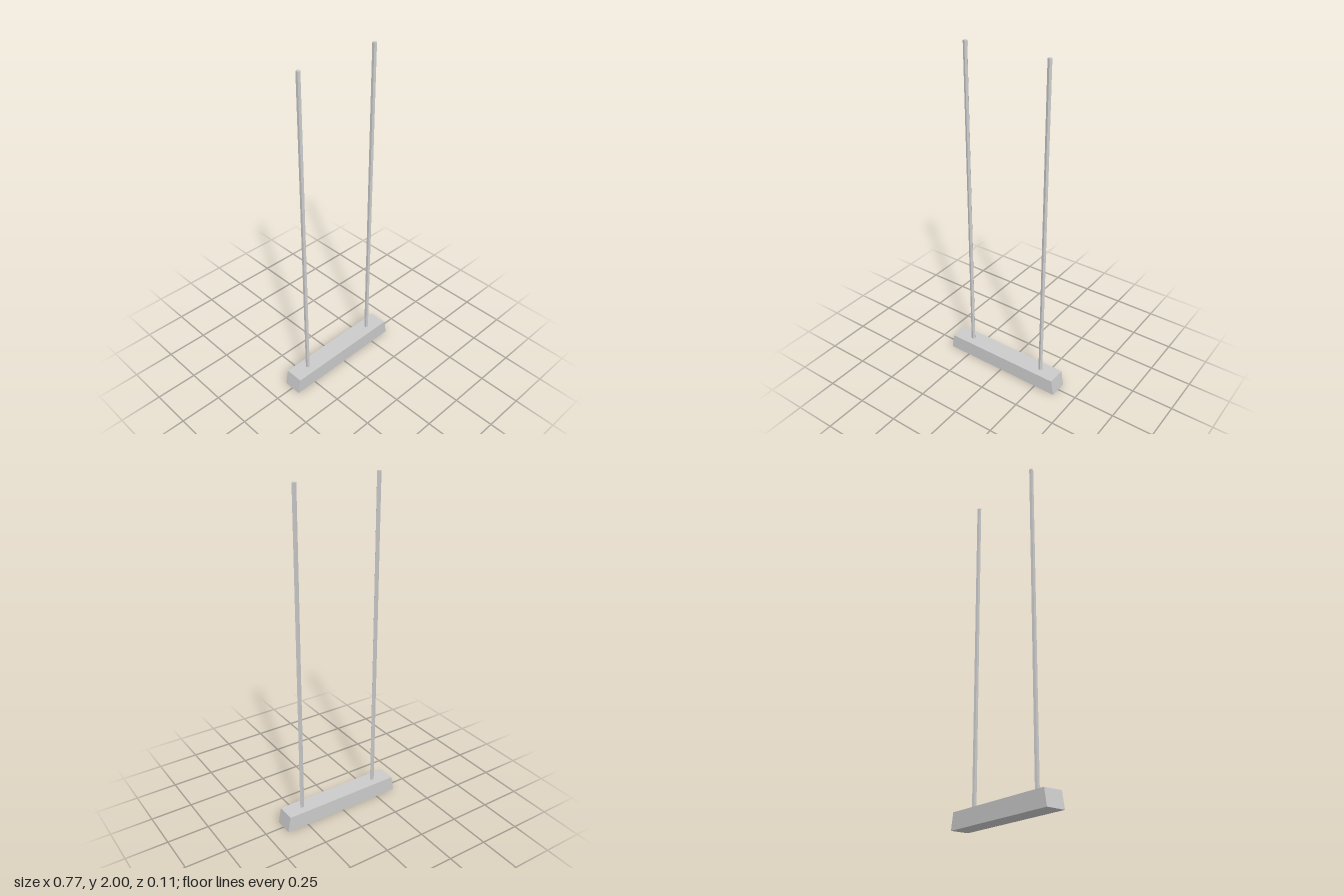
import * as THREE from 'three';

const BASE_HEIGHT = 0.095;
const BASE_DEPTH = 0.112;
const ROD_TOP = 2;
const ROD_BOTTOM = 0.09; // sunk slightly into the base
const ROD_RADIUS = 0.0125;
const ROD_X = 0.254;

export function createModel() {
  const group = new THREE.Group();
  const material = new THREE.MeshStandardMaterial({ color: 0xcccccc, flatShading: true });

  // Base bar: trapezoid with sloping ends
  const profile = new THREE.Shape([
    new THREE.Vector2(-0.383, 0),
    new THREE.Vector2(0.383, 0),
    new THREE.Vector2(0.366, BASE_HEIGHT),
    new THREE.Vector2(-0.366, BASE_HEIGHT),
  ]);
  const baseGeometry = new THREE.ExtrudeGeometry(profile, { depth: BASE_DEPTH, bevelEnabled: false });
  baseGeometry.translate(0, 0, -BASE_DEPTH / 2);
  const base = new THREE.Mesh(baseGeometry, material);
  base.name = 'base';
  group.add(base);

  // Two five-sided upright rods, each with a corner towards +x
  const rodGeometry = new THREE.CylinderGeometry(ROD_RADIUS, ROD_RADIUS, ROD_TOP - ROD_BOTTOM, 5);
  rodGeometry.rotateY(Math.PI / 2);
  for (const [name, side] of [['leftRod', 1], ['rightRod', -1]]) {
    const rod = new THREE.Mesh(rodGeometry, material);
    rod.name = name;
    rod.position.set(side * ROD_X, (ROD_TOP + ROD_BOTTOM) / 2, 0);
    group.add(rod);
  }

  return group;
}
